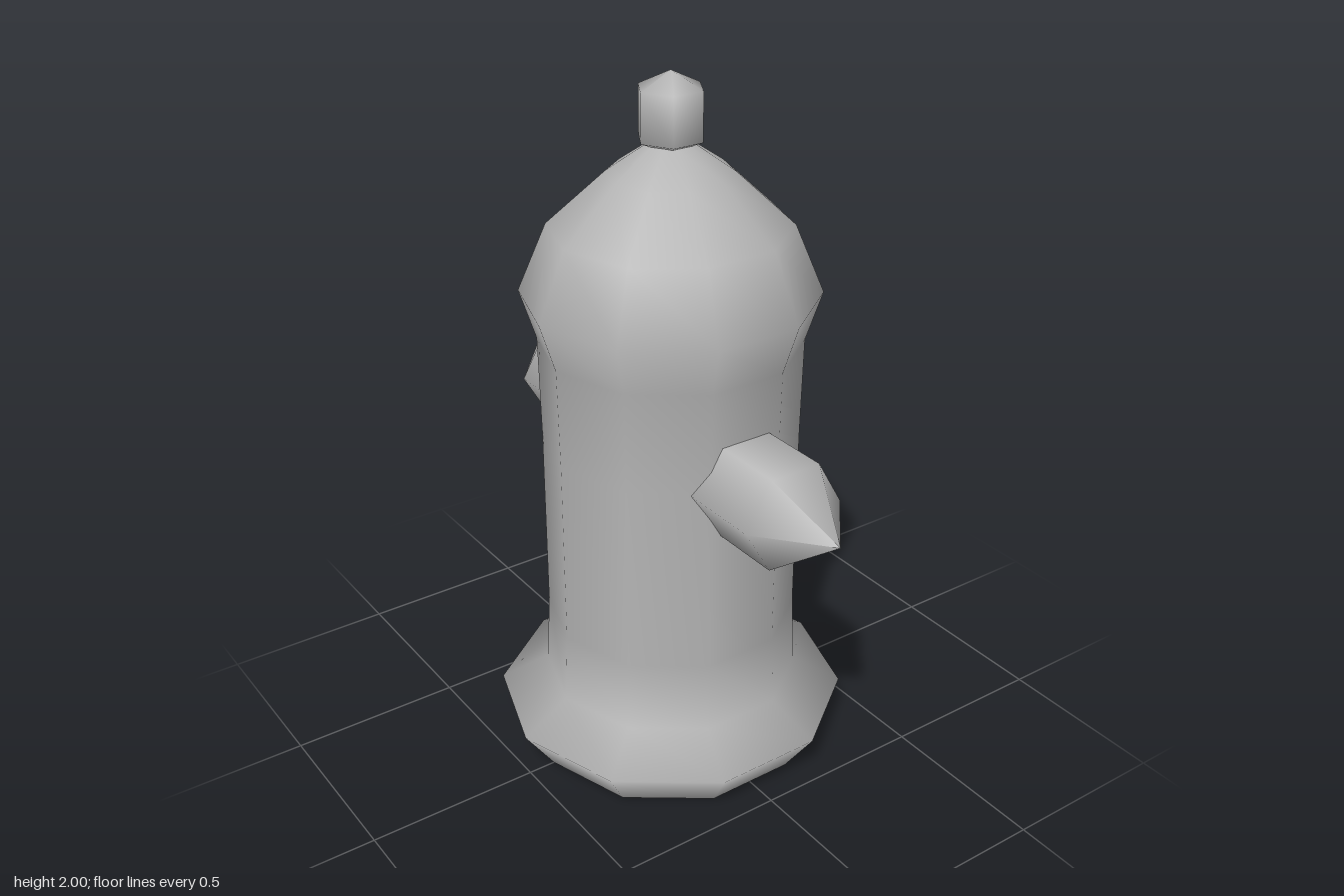
import * as THREE from 'three';

// Lathe a faceted-outline, smooth-shaded part from [radius, height] pairs, bottom to top
function turned(name, profile, sides, material) {
  const points = profile.map(([r, y]) => new THREE.Vector2(r, y));
  const mesh = new THREE.Mesh(new THREE.LatheGeometry(points, sides), material);
  mesh.name = name;
  return mesh;
}

export function createModel() {
  const hydrant = new THREE.Group();
  hydrant.name = 'hydrant';
  const iron = new THREE.MeshStandardMaterial({ color: 0xb4b4b4 });
  iron.name = 'grey iron';

  // Flared foot, barrel and domed bonnet in one casting
  hydrant.add(turned('barrel', [
    [0.42, 0], [0.51, 0.13], [0.37, 0.21], [0.36, 0.42], [0.36, 0.97],
    [0.365, 1.26], [0.41, 1.4], [0.33, 1.59], [0.17, 1.735], [0.06, 1.81], [0, 1.82],
  ], 10, iron));

  // Flat underside
  hydrant.add(turned('underside', [[0, 0], [0.42, 0]], 10, iron));

  // Hexagonal operating nut on top
  hydrant.add(turned('topNut', [
    [0.04, 1.8], [0.092, 1.822], [0.092, 1.955], [0, 2],
  ], 6, iron));

  // Pointed hexagonal outlets on both sides
  for (const side of [1, -1]) {
    const outlet = turned(side > 0 ? 'leftOutlet' : 'rightOutlet', [
      [0.153, 0.2], [0.153, 0.55], [0, 0.733],
    ], 6, iron);
    outlet.rotation.z = -side * Math.PI / 2;
    outlet.position.y = 0.963;
    hydrant.add(outlet);
  }

  return hydrant;
}
